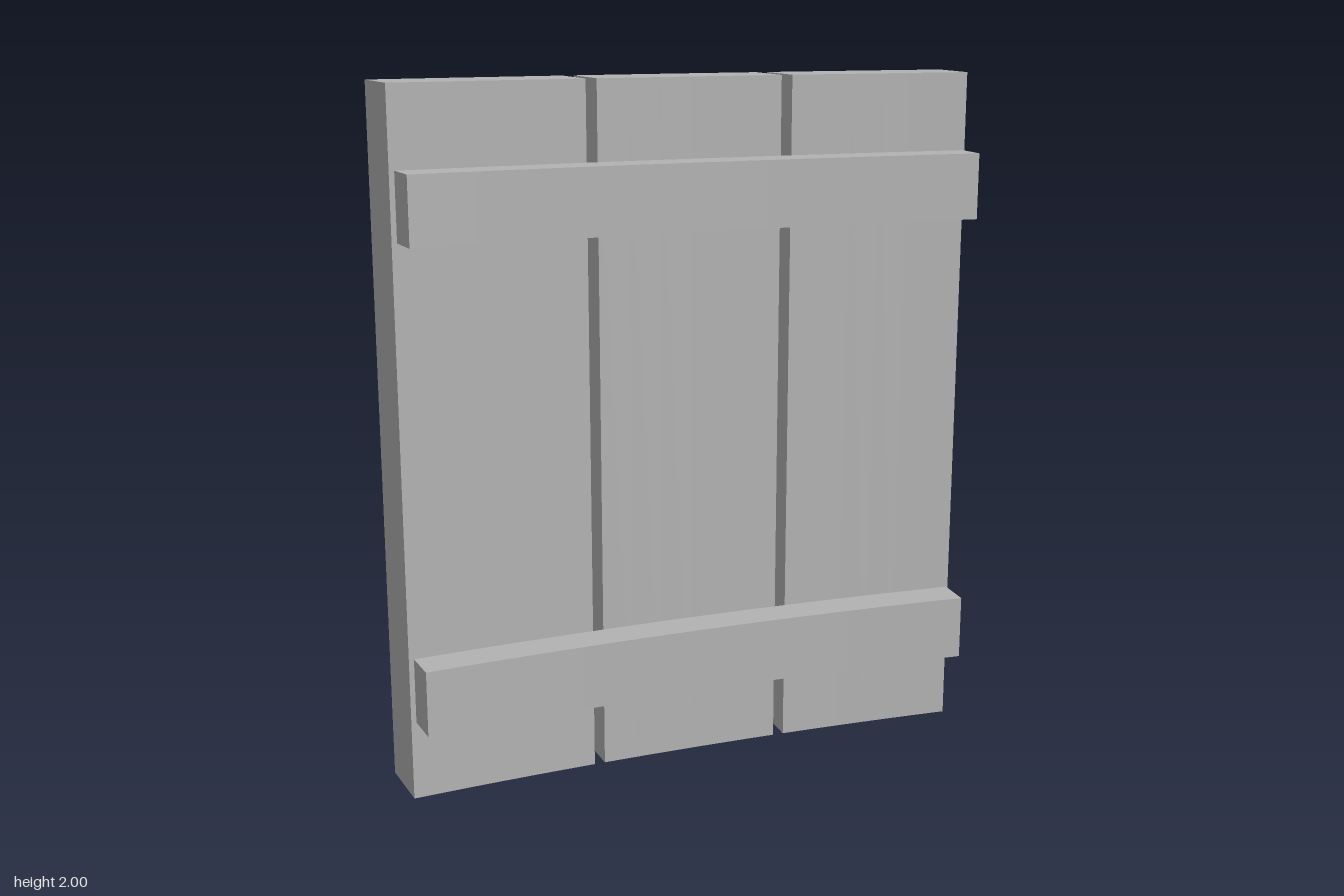
import * as THREE from 'three';

// All parts follow concentric arcs around a vertical axis far in front of the panel
const OUTER = 10.75, THICK = 0.19, BATTEN = 0.11;
const CX = 0.85, CZ = OUTER - 0.216;

// Curved board between radii r0 > r1, spanning x0..x1 along its back face, from y0 up to y1
function curvedBoard(name, material, r0, r1, x0, x1, y0, y1, segments) {
  const a0 = Math.asin((x0 - CX) / r0), a1 = Math.asin((x1 - CX) / r0);
  const point = (r, t) => {
    const a = THREE.MathUtils.lerp(a0, a1, t);
    return new THREE.Vector2(CX + r * Math.sin(a), -(CZ - r * Math.cos(a)));
  };
  const points = [];
  for (let i = 0; i <= segments; i++) points.push(point(r1, i / segments));
  for (let i = segments; i >= 0; i--) points.push(point(r0, i / segments));
  const geometry = new THREE.ExtrudeGeometry(new THREE.Shape(points), {
    depth: y1 - y0, bevelEnabled: false,
  });
  geometry.rotateX(-Math.PI / 2);
  geometry.translate(0, y0, 0);
  const mesh = new THREE.Mesh(geometry, material);
  mesh.name = name;
  return mesh;
}

export function createModel() {
  const group = new THREE.Group();
  group.name = 'curvedPlankPanel';
  const grey = new THREE.MeshStandardMaterial({ color: 0xb3b3b3 });
  grey.name = 'plain grey';

  // Three upright planks with narrow gaps
  const planks = [['rightPlank', -0.867, -0.311], ['middlePlank', -0.279, 0.277], ['leftPlank', 0.31, 0.866]];
  for (const [name, x0, x1] of planks) {
    group.add(curvedBoard(name, grey, OUTER, OUTER - THICK, x0, x1, 0, 2, 6));
  }

  // Two battens across the front
  const inner = OUTER - THICK;
  for (const [name, y0, y1] of [['lowerBatten', 0.23, 0.42], ['upperBatten', 1.585, 1.775]]) {
    group.add(curvedBoard(name, grey, inner, inner - BATTEN, -0.822, 0.861, y0, y1, 18));
  }
  return group;
}
